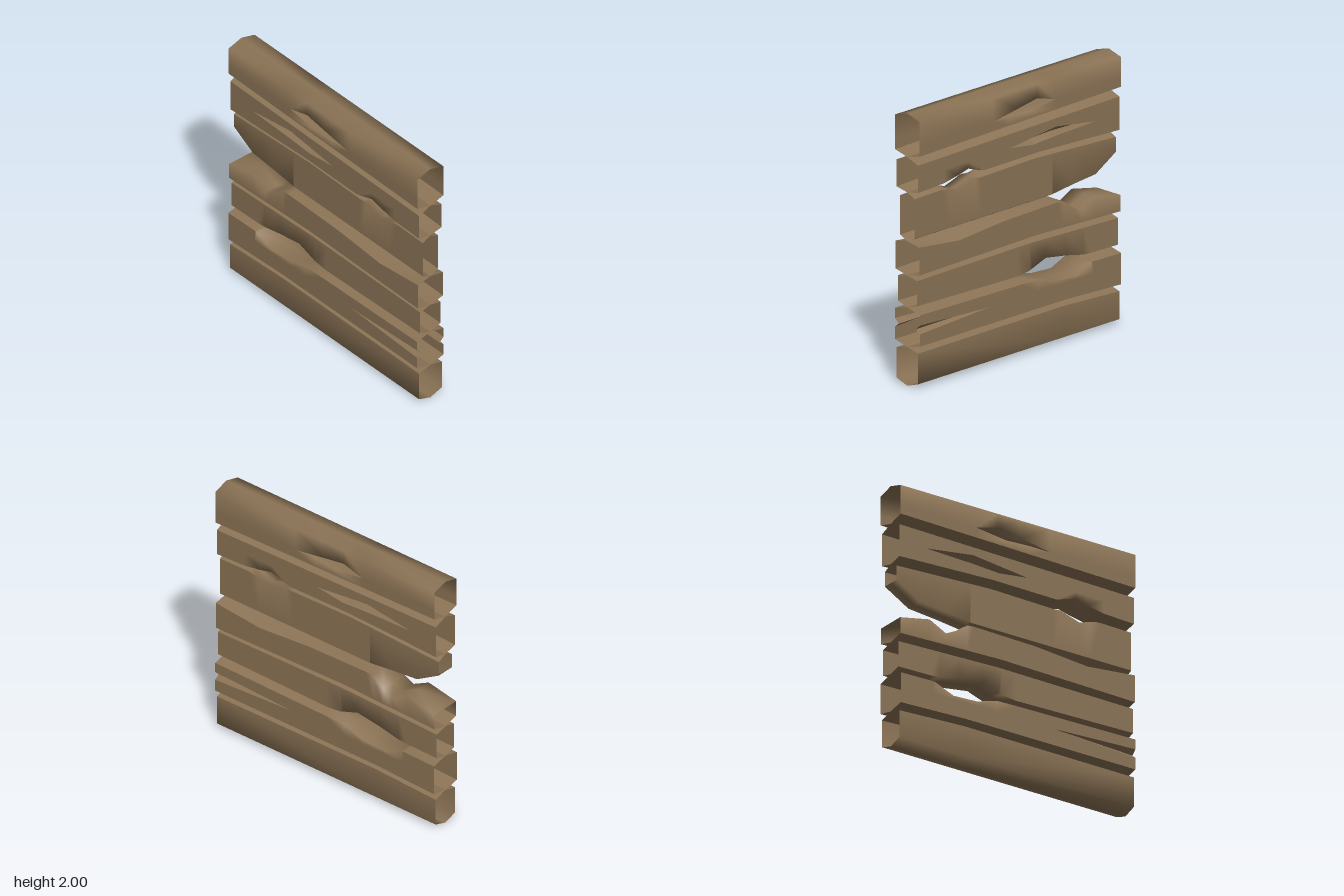
import * as THREE from 'three';

// An edge runs along a plank: points are [x, rim y, inner y, smooth].
// Its wall runs from the plank's face inward to depth z, between x = from and x = to.
const edge = (points, z = 0, from = -1, to = 1) => ({ points, z, from, to });
// Rim point of a hole: straight wall, smooth shading
const rim = (x, y) => [x, y, y, 1];

function sample({ points }, x) {
  let i = 0;
  while (i < points.length - 2 && x > points[i + 1][0]) i++;
  const p = points[i], q = points[i + 1];
  const t = (x - p[0]) / (q[0] - p[0]);
  const smooth = t <= 0 ? p[3] : t >= 1 ? q[3] : p[3] && q[3];
  return { y: p[1] + (q[1] - p[1]) * t, inner: p[2] + (q[2] - p[2]) * t, smooth: !!smooth };
}

// Hollow plank: three bands (bottom wall, face, top wall), mirrored front to back
function plankGeometry(depth, bottom, top) {
  const xs = [...new Set([...bottom.points, ...top.points].map(p => p[0]))].sort((a, b) => a - b);
  const position = [], index = [], ids = new Map();
  const rings = xs.map(x => {
    const b = sample(bottom, x), t = sample(top, x);
    return [
      [b.inner, bottom.z, b.smooth], [b.y, depth, b.smooth],
      [t.y, depth, t.smooth], [t.inner, top.z, t.smooth],
    ];
  });
  const vertex = (i, k, band, side) => {
    const [y, z, smooth] = rings[i][k];
    const key = [i, k, smooth ? 's' : band, smooth && z === 0 ? 0 : side].join();
    if (!ids.has(key)) {
      ids.set(key, position.length / 3);
      position.push(xs[i], y, z * side);
    }
    return ids.get(key);
  };
  for (const side of [1, -1]) {
    for (let i = 0; i < xs.length - 1; i++) {
      for (let band = 0; band < 3; band++) {
        const wall = [bottom, null, top][band];
        const mid = (xs[i] + xs[i + 1]) / 2;
        if (wall && (mid < wall.from || mid > wall.to)) continue;
        const a = vertex(i, band, band, side), b = vertex(i + 1, band, band, side);
        const c = vertex(i + 1, band + 1, band, side), d = vertex(i, band + 1, band, side);
        if (side > 0) index.push(a, b, c, a, c, d);
        else index.push(a, c, b, a, d, c);
      }
    }
  }
  const geometry = new THREE.BufferGeometry();
  geometry.setAttribute('position', new THREE.Float32BufferAttribute(position, 3));
  geometry.setIndex(index);
  geometry.computeVertexNormals();
  return geometry;
}

export function createModel() {
  const group = new THREE.Group();
  group.name = 'weatheredPlankWall';
  const wood = new THREE.MeshStandardMaterial({ color: 0x8b7355, side: THREE.DoubleSide });
  wood.name = 'weathered brown wood';

  const add = (name, depth, bottom, top) => {
    const mesh = new THREE.Mesh(plankGeometry(depth, bottom, top), wood);
    mesh.name = name;
    group.add(mesh);
  };

  // Bottom plank
  add('plank1', 0.105,
    edge([[-1, 0.035, 0, 1], [1, 0.035, 0, 1]]),
    edge([[-1, 0.24, 0.27], [-0.45, 0.265, 0.29], [1, 0.26, 0.285]]));

  // Second plank, split along the crack at its right end
  add('plank2Lower', 0.122,
    edge([[-1, 0.295, 0.27], [-0.45, 0.315, 0.29], [1, 0.315, 0.285]]),
    edge([[-1, 0.44, 0.44], [0.3, 0.44, 0.44], [1, 0.405, 0.435]], 0.085, 0.3, 1));
  add('plank2Upper', 0.122,
    edge([[-1, 0.44, 0.44], [0.3, 0.44, 0.44], [1, 0.47, 0.435]], 0.085, 0.3, 1),
    edge([[-1, 0.525, 0.555], [-0.72, 0.53, 0.56], rim(-0.7, 0.525), rim(-0.55, 0.465),
      rim(-0.35, 0.475), rim(-0.18, 0.525), [0, 0.53, 0.56], [1, 0.545, 0.575]]));

  // Third plank, above the lower hole
  add('plank3', 0.094,
    edge([[-1, 0.58, 0.555], [-0.72, 0.585, 0.56], rim(-0.65, 0.59), rim(-0.48, 0.625),
      rim(-0.28, 0.655), rim(-0.12, 0.6), [0, 0.585, 0.56], [1, 0.605, 0.575]]),
    edge([[-1, 0.775, 0.8], [-0.15, 0.8, 0.825], [1, 0.79, 0.81]]));

  // Fourth plank, broken away at the left of the front
  add('plank4', 0.116,
    edge([[-1, 0.83, 0.8], [-0.15, 0.855, 0.825], [1, 0.835, 0.81]]),
    edge([rim(-1, 0.95), rim(-0.75, 1), rim(-0.61, 0.93), rim(-0.53, 0.97), rim(-0.43, 1.04),
      [-0.37, 1.045, 1.06], [0.15, 1.035, 1.06], [0.6, 1, 1.06], [1, 1.04, 1.06]]));

  // Fifth plank, thinner and broken along its lower edge
  add('plank5', 0.07,
    edge([rim(-1, 1.255), rim(-0.8, 1.14), rim(-0.58, 1.12), rim(-0.372, 1.096),
      [-0.37, 1.095, 1.06], [1, 1.095, 1.06]]),
    edge([[-1, 1.365, 1.4], [-0.2, 1.4, 1.43], [0.34, 1.39, 1.43], rim(0.4, 1.395),
      rim(0.56, 1.345), rim(0.65, 1.375), [0.74, 1.39, 1.425], [1, 1.385, 1.42]]));

  // Sixth plank, split along its crack
  add('plank6Lower', 0.104,
    edge([[-1, 1.425, 1.4], [-0.2, 1.455, 1.43], [0.34, 1.45, 1.43], rim(0.5, 1.5),
      rim(0.6, 1.475), [0.74, 1.45, 1.425], [1, 1.44, 1.42]]),
    edge([[-1, 1.545, 1.545], [-0.77, 1.545, 1.545], [-0.37, 1.533, 1.555], [-0.15, 1.52, 1.553],
      [0.09, 1.55, 1.55], [1, 1.55, 1.55]], 0.045, -0.77, 0.09));
  add('plank6Upper', 0.104,
    edge([[-1, 1.545, 1.545], [-0.77, 1.545, 1.545], [-0.37, 1.6, 1.555], [-0.15, 1.576, 1.553],
      [0.09, 1.55, 1.55], [1, 1.55, 1.55]], 0.045, -0.77, 0.09),
    edge([[-1, 1.67, 1.71], [1, 1.64, 1.68]]));

  // Top plank, split along its hole
  add('plank7Lower', 0.12,
    edge([[-1, 1.745, 1.71], [1, 1.71, 1.68]]),
    edge([[-1, 1.81, 1.81], [-0.35, 1.81, 1.81], rim(-0.1, 1.78), rim(0.1, 1.79),
      [0.27, 1.79, 1.79], [1, 1.79, 1.79]], 0, -0.35, 0.27));
  add('plank7Upper', 0.12,
    edge([[-1, 1.81, 1.81], [-0.35, 1.81, 1.81], rim(-0.17, 1.86), rim(0.02, 1.83),
      [0.27, 1.79, 1.79], [1, 1.79, 1.79]], 0, -0.35, 0.27),
    edge([[-1, 1.965, 2, 1], [1, 1.965, 2, 1]]));

  return group;
}
